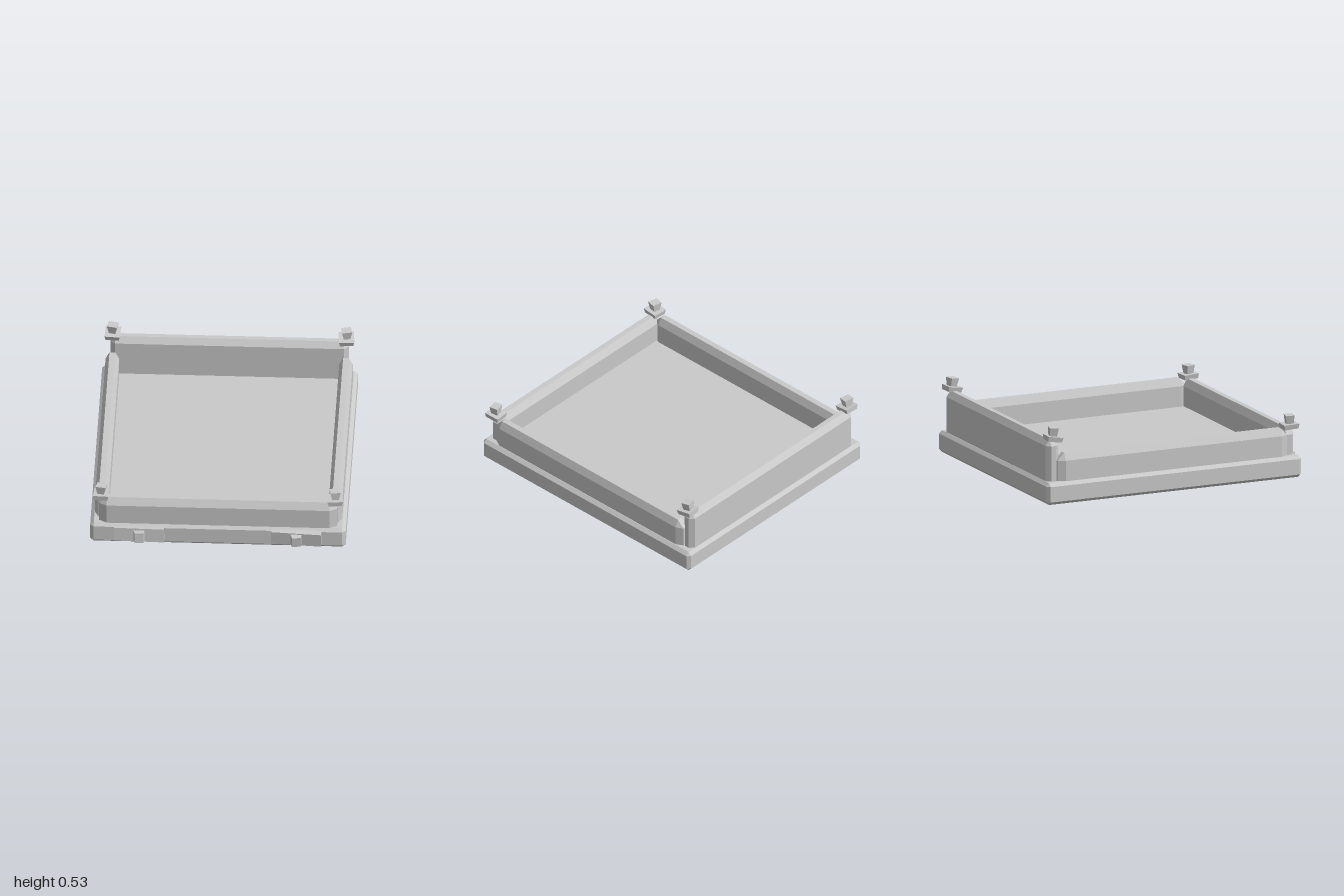
import * as THREE from 'three';
import { ConvexGeometry } from 'three/addons/geometries/ConvexGeometry.js';

const stone = new THREE.MeshStandardMaterial({ color: 0xcacaca });
stone.name = 'lightStoneGrey';

// Box between two corners with its edges cut by a separate amount along each axis
function chamferedBox(name, min, max, cut) {
  const mid = min.map((v, i) => (v + max[i]) / 2);
  const half = min.map((v, i) => (max[i] - v) / 2);
  const points = [];
  for (const sx of [-1, 1]) for (const sy of [-1, 1]) for (const sz of [-1, 1]) {
    for (let outer = 0; outer < 3; outer++) {
      const p = [sx, sy, sz].map((s, i) => s * (i === outer ? half[i] : half[i] - cut[i]));
      points.push(new THREE.Vector3(...p));
    }
  }
  const mesh = new THREE.Mesh(new ConvexGeometry(points), stone);
  mesh.position.set(...mid);
  mesh.name = name;
  return mesh;
}

// Block whose top and bottom rectangles differ: [width, depth]
function taperedBlock(name, bottom, top, height) {
  const points = [];
  for (const [[w, d], y] of [[bottom, -height / 2], [top, height / 2]])
    for (const sx of [-1, 1]) for (const sz of [-1, 1])
      points.push(new THREE.Vector3(sx * w / 2, y, sz * d / 2));
  const mesh = new THREE.Mesh(new ConvexGeometry(points), stone);
  mesh.name = name;
  return mesh;
}

// Corner ornament: a slightly crooked cap plate with a flared knob
function finial(name, x, y, z, tilt, turn) {
  const group = new THREE.Group();
  group.name = name;
  const cap = taperedBlock('capPlate', [0.09, 0.1], [0.105, 0.11], 0.035);
  cap.position.y = 0.018;
  cap.rotation.set(tilt, turn * 0.3, 0);
  const knob = taperedBlock('knob', [0.045, 0.05], [0.07, 0.06], 0.06);
  knob.position.y = 0.064;
  knob.rotation.set(tilt * 0.5, turn, 0);
  group.add(cap, knob);
  group.position.set(x, y, z);
  return group;
}

// Front fitting: a flat plate with a small protruding grip
function latch(name, x, turn, pitch) {
  const group = new THREE.Group();
  group.name = name;
  const plate = new THREE.Mesh(new THREE.BoxGeometry(0.34, 0.1, 0.045), stone);
  plate.name = 'latchPlate';
  plate.rotation.set(pitch, turn, 0);
  const grip = taperedBlock('latchGrip', [0.08, 0.08], [0.06, 0.075], 0.05);
  grip.rotation.set(Math.PI / 2 + pitch, 0, turn * 2);
  grip.position.set(0, 0, 0.034);
  group.add(plate, grip);
  group.position.set(x, 0.09, 0.928);
  return group;
}

export function createModel() {
  const model = new THREE.Group();
  model.name = 'tray';

  // Base slab, its top forms the floor
  model.add(chamferedBox('base', [-0.87, 0.003, -1], [0.87, 0.155, 0.92], [0.025, 0.022, 0.022]));

  // Front and taller back walls
  model.add(chamferedBox('frontWall', [-0.81, 0.08, 0.8], [0.81, 0.345, 0.9], [0.05, 0.05, 0.03]));
  model.add(chamferedBox('backWall', [-0.81, 0.08, -0.975], [0.81, 0.443, -0.88], [0.03, 0.042, 0.03]));

  for (const side of [-1, 1]) {
    const label = side > 0 ? 'left' : 'right';
    // Side walls
    const x = side * 0.795;
    model.add(chamferedBox(label + 'Wall', [x - 0.046, 0.08, -0.9], [x + 0.046, 0.348, 0.83], [0.026, 0.05, 0.05]));
    // Corner ornaments
    model.add(finial(label + 'FrontFinial', side * 0.795, 0.337, 0.855, -0.05, side * 0.2));
    model.add(finial(label + 'BackFinial', side * 0.795, 0.435, -0.925, 0.16, side * 0.2));
    // Front fittings
    model.add(latch(label + 'Latch', side * 0.535, side > 0 ? -0.06 : -0.03, side * 0.08));
  }
  return model;
}
